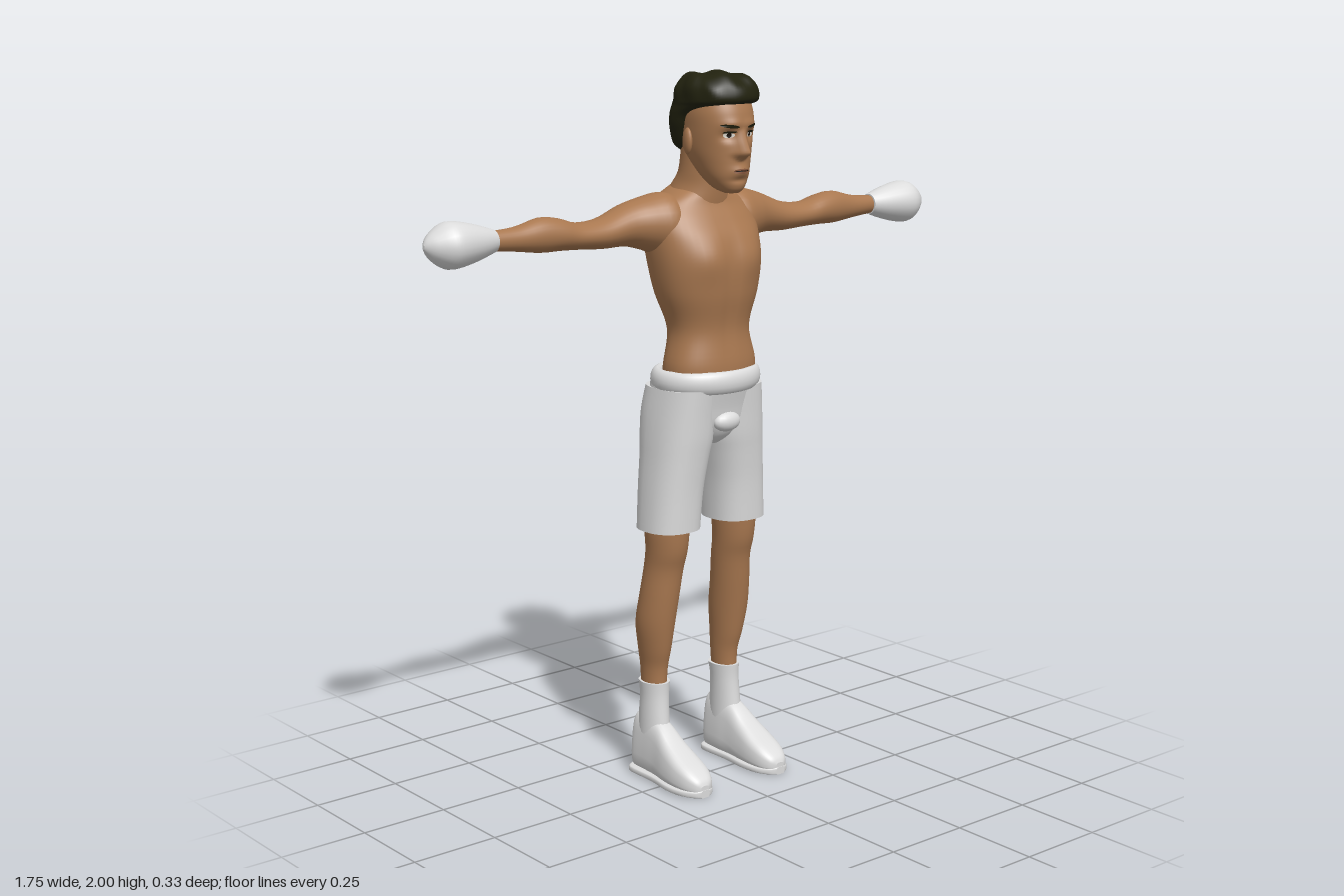
import * as THREE from 'three';

const paint = (name, color) => {
  const m = new THREE.MeshStandardMaterial({ color });
  m.name = name;
  return m;
};

// Smooth interpolation between cross-section rows
function sampleRows(rows, steps) {
  const out = [], at = i => rows[Math.min(Math.max(i, 0), rows.length - 1)];
  for (let i = 0; i < rows.length - 1; i++) {
    for (let s = 0; s < steps; s++) {
      const t = s / steps;
      out.push(rows[i].map((b, k) => {
        const a = at(i - 1)[k], c = at(i + 1)[k], d = at(i + 2)[k];
        return b + 0.5 * t * (c - a + t * (2 * a - 5 * b + 4 * c - d + t * (3 * (b - c) + d - a)));
      }));
    }
  }
  out.push(rows[rows.length - 1]);
  return out;
}

// Where a ring point lies: t along the axis, p and q across it
const place = {
  y: (t, s, c, [, x0, x1, z0, z1]) => [mix(x0, x1, s), t, mix(z0, z1, c)],
  x: (t, s, c, [, y0, y1, z0, z1]) => [t, mix(y0, y1, -s), mix(z0, z1, c)],
  z: (t, s, c, [, x0, x1, y0, y1]) => [mix(x0, x1, c), mix(y0, y1, s), t],
};
const mix = (lo, hi, u) => (lo + hi) / 2 + u * (hi - lo) / 2;

// Closed skin over rows of [position, min, max, min, max]; bend moves each vertex
function loft(axis, rows, { n = 28, steps = 4, power = 1, bend } = {}) {
  const rings = sampleRows(rows, steps), pos = [], idx = [];
  const soften = u => Math.sign(u) * Math.abs(u) ** power;
  const addRing = row => {
    for (let j = 0; j < n; j++) {
      const a = (j / n) * Math.PI * 2;
      const v = new THREE.Vector3(...place[axis](row[0], soften(Math.sin(a)), soften(Math.cos(a)), row));
      if (bend) bend(v);
      pos.push(v.x, v.y, v.z);
    }
  };
  rings.forEach(addRing);
  for (let i = 0; i < rings.length - 1; i++) {
    for (let j = 0; j < n; j++) {
      const a = i * n + j, b = i * n + (j + 1) % n;
      idx.push(a, b, b + n, a, b + n, a + n);
    }
  }
  [rings[0], rings[rings.length - 1]].forEach((row, end) => {
    const base = pos.length / 3;
    addRing(row);
    const mid = new THREE.Vector3(...place[axis](row[0], 0, 0, row));
    pos.push(mid.x, mid.y, mid.z);
    for (let j = 0; j < n; j++) {
      const a = base + j, b = base + (j + 1) % n;
      idx.push(base + n, end ? a : b, end ? b : a);
    }
  });
  const g = new THREE.BufferGeometry();
  g.setAttribute('position', new THREE.Float32BufferAttribute(pos, 3));
  g.setIndex(idx);
  g.computeVertexNormals();
  return g;
}

function mirrored(geometry) {
  const g = geometry.clone().scale(-1, 1, 1), i = g.index.array;
  for (let k = 0; k < i.length; k += 3) [i[k], i[k + 1]] = [i[k + 1], i[k]];
  return g;
}

const sym = rows => rows.map(([y, w, z0, z1]) => [y, -w, w, z0, z1]);
const bump = (d, width) => Math.exp(-((d / width) ** 2));

export function createModel() {
  const model = new THREE.Group();
  model.name = 'boxer';
  const skin = paint('skin', 0xa97850), cloth = paint('white cloth', 0xdcdcdc);
  const hairDark = paint('dark hair', 0x22220f), eyeWhite = paint('eye white', 0xe6e2d8);
  const iris = paint('iris', 0x1c140e), lip = paint('lips', 0x8a5a40);

  const add = (name, geometry, material) => {
    const mesh = new THREE.Mesh(geometry, material);
    mesh.name = name;
    model.add(mesh);
    return mesh;
  };
  const pair = (name, geometry, material) => {
    add('left ' + name, geometry, material);
    add('right ' + name, mirrored(geometry), material);
  };

  // Torso with chest, belly and spine relief
  add('torso', loft('y', sym([
    [1.12, .13, -.12, .085], [1.2, .14, -.1, .09], [1.3, .121, -.1, .08], [1.4, .15, -.135, .097],
    [1.48, .165, -.152, .098], [1.55, .172, -.16, .082], [1.6, .172, -.162, .055],
    [1.64, .15, -.155, .03], [1.67, .1, -.14, .02], [1.69, .06, -.13, .01],
  ]), {
    n: 48, steps: 6, power: .88, bend: v => {
      const ax = Math.abs(v.x);
      if (v.z > 0) {
        v.z += .012 * bump(ax - .075, .055) * bump(v.y - 1.5, .055);
        v.z -= .007 * bump(v.x, .014) * bump(v.y - 1.42, .15);
      } else {
        v.z += .018 * bump(v.x, .022) * bump(v.y - 1.42, .17);
        v.z -= .008 * bump(ax - .09, .04) * bump(v.y - 1.55, .06);
      }
    },
  }), skin);
  add('neck', loft('y', sym([
    [1.6, .13, -.155, .02], [1.65, .095, -.148, .03], [1.69, .074, -.13, .035],
    [1.73, .067, -.1, .038], [1.8, .065, -.088, .045],
  ])), skin);

  // Arms held straight out, and gloves
  pair('arm', loft('x', [
    [.05, 1.54, 1.655, -.13, -.01], [.12, 1.5, 1.675, -.147, .025], [.18, 1.52, 1.665, -.148, .008],
    [.24, 1.535, 1.648, -.142, -.015], [.32, 1.535, 1.618, -.132, -.022], [.4, 1.54, 1.612, -.124, -.025],
    [.46, 1.542, 1.628, -.12, -.025], [.52, 1.542, 1.634, -.115, -.03], [.6, 1.552, 1.616, -.102, -.04],
    [.7, 1.562, 1.61, -.092, -.048],
  ]), skin);
  pair('glove', loft('x', [
    [.665, 1.556, 1.615, -.1, -.04], [.72, 1.538, 1.632, -.12, -.02], [.78, 1.525, 1.645, -.135, -.005],
    [.815, 1.526, 1.643, -.132, -.008], [.85, 1.548, 1.622, -.108, -.033], [.868, 1.568, 1.605, -.086, -.053],
    [.875, 1.58, 1.592, -.074, -.065],
  ], { n: 24 }), cloth);

  // Shorts and rolled waistband
  add('shorts seat', loft('y', sym([
    [.975, .03, -.08, .02], [1.0, .085, -.125, .05], [1.04, .145, -.15, .07], [1.09, .162, -.153, .08],
    [1.16, .158, -.148, .098],
  ]), { n: 40, power: .9 }), cloth);
  pair('shorts leg', loft('y', [
    [.74, .035, .2, -.13, .045], [.85, .028, .192, -.135, .052], [.94, .014, .184, -.14, .062],
    [1.0, .002, .179, -.148, .07], [1.07, 0, .171, -.152, .077], [1.14, 0, .16, -.142, .085],
  ], { n: 32, power: .85 }), cloth);
  add('shorts front fold', new THREE.SphereGeometry(1, 20, 12).scale(.045, .028, .025).translate(0, 1.045, .07), cloth);
  add('waistband', new THREE.TorusGeometry(.144, .021, 16, 48).rotateX(Math.PI / 2)
    .scale(1, 1.5, .815).translate(0, 1.16, -.021), cloth);

  // Legs, socks and shoes
  pair('leg', loft('y', [
    [.24, .1, .163, -.137, -.052], [.32, .095, .165, -.14, -.05], [.38, .09, .175, -.143, -.035],
    [.46, .082, .187, -.144, -.02], [.54, .076, .184, -.13, -.008], [.62, .07, .177, -.118, .003],
    [.68, .066, .178, -.11, .02], [.76, .06, .182, -.115, .028], [.9, .05, .175, -.12, .035],
  ]), skin);
  pair('sock', loft('y', [
    [.1, .095, .172, -.15, -.03], [.18, .095, .17, -.145, -.04], [.24, .093, .168, -.14, -.045],
    [.282, .089, .17, -.146, -.044],
  ]), cloth);
  pair('shoe', loft('z', [
    [-.158, .105, .162, .01, .165], [-.145, .09, .178, .006, .178], [-.09, .083, .184, .006, .183],
    [-.04, .083, .188, .006, .165], [.01, .081, .196, .006, .128], [.06, .08, .198, .006, .098],
    [.105, .087, .19, .006, .074], [.135, .105, .172, .008, .052], [.145, .125, .155, .015, .035],
  ], {
    power: .65, bend: v => {
      v.x = .135 + (v.x - .135) * (1 - 1.9 * v.y);
    },
  }), cloth);
  pair('sole', loft('z', [
    [-.16, .105, .165, 0, .022], [-.14, .085, .185, 0, .022], [-.04, .085, .188, 0, .022], [.04, .078, .2, 0, .022],
    [.1, .084, .194, 0, .022], [.135, .105, .174, 0, .022], [.147, .125, .155, 0, .022],
  ], { power: .5 }), cloth);

  // Head with nose, brow, eye sockets, lips and chin
  const head = add('head', loft('y', sym([
    [1.677, .02, .07, .108], [1.69, .038, .03, .121], [1.72, .058, -.01, .128], [1.76, .073, -.05, .129],
    [1.8, .083, -.075, .13], [1.85, .088, -.08, .135], [1.9, .089, -.083, .128], [1.95, .075, -.065, .1],
    [1.98, .03, -.02, .05],
  ]), {
    n: 72, steps: 8, power: .92, bend: v => {
      if (v.z < .04) return;
      const ax = Math.abs(v.x);
      const ridge = THREE.MathUtils.clamp((1.85 - v.y) / .062, 0, 1) * THREE.MathUtils.smoothstep(v.y, 1.762, 1.786);
      v.z += .036 * ridge * bump(v.x, .011 + .008 * ridge);
      v.z -= .014 * bump(ax - .036, .02) * bump(v.y - 1.832, .016);
      v.z += .005 * bump(ax - .03, .03) * bump(v.y - 1.862, .012);
      v.z += .007 * bump(v.x, .026) * bump(v.y - 1.737, .013);
      v.z -= .005 * bump(v.x, .03) * bump(v.y - 1.713, .008);
    },
  }), skin);
  pair('ear', new THREE.SphereGeometry(1, 16, 12).scale(.011, .036, .022).rotateY(.3).translate(.092, 1.815, .015), skin);

  // Hair cap, low at the nape and rising to the forehead
  add('hair', loft('y', sym([
    [1.785, .05, -.084, -.045], [1.805, .078, -.092, -.015], [1.85, .095, -.095, .012], [1.885, .099, -.096, .04],
    [1.908, .1, -.096, .1], [1.922, .102, -.094, .136], [1.955, .1, -.085, .132], [1.98, .083, -.065, .108],
    [1.992, .06, -.04, .08], [1.996, .02, 0, .04],
  ]), {
    n: 64, steps: 5, power: .82, bend: v => {
      const a = Math.atan2(v.x, v.z - .02), lift = THREE.MathUtils.smoothstep(v.y, 1.9, 1.97);
      const k = 1 + .035 * lift * Math.sin(9 * a + 30 * v.y);
      v.x *= k;
      v.z = .02 + (v.z - .02) * k;
      v.y += .004 * lift * Math.sin(70 * v.x + 40 * v.z);
    },
  }), hairDark);

  // Thin face details laid onto the head
  const ray = new THREE.Raycaster();
  const detail = (name, x, y, w, h, tilt, gap, material, twin = true) => {
    const g = new THREE.CircleGeometry(1, 20).scale(w, h, 1).rotateZ(tilt).translate(x, y, 0);
    const p = g.attributes.position;
    for (let i = 0; i < p.count; i++) {
      ray.set(new THREE.Vector3(p.getX(i), p.getY(i), 1), new THREE.Vector3(0, 0, -1));
      const hit = ray.intersectObject(head)[0];
      p.setZ(i, (hit ? hit.point.z : .1) + gap);
    }
    g.computeVertexNormals();
    if (twin) pair(name, g, material);
    else add(name, g, material);
  };
  detail('eye', .036, 1.833, .015, .007, 0, .003, eyeWhite);
  detail('eye line', .036, 1.841, .018, .003, -.05, .004, hairDark);
  detail('iris', .035, 1.833, .006, .0065, 0, .005, iris);
  detail('eyebrow', .038, 1.857, .024, .0045, .12, .003, hairDark);
  detail('mouth', 0, 1.737, .026, .007, 0, .002, lip, false);
  detail('mouth line', 0, 1.738, .025, .0015, 0, .0035, iris, false);

  return model;
}
